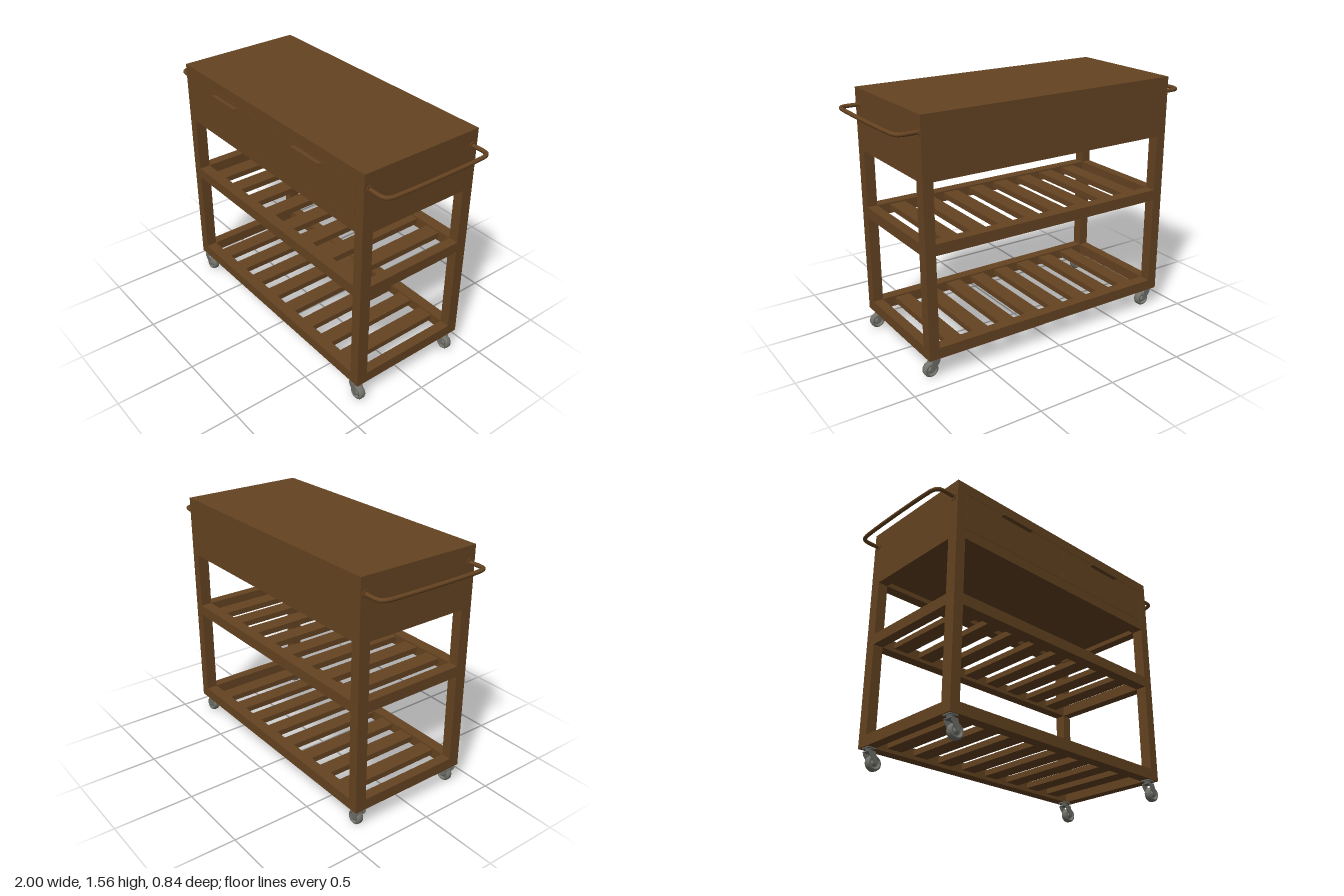
import * as THREE from 'three';

const wood = new THREE.MeshStandardMaterial({ color: 0x654321 });
wood.name = 'brown wood';
const metal = new THREE.MeshStandardMaterial({ color: 0x6c6c68 });
metal.name = 'caster steel';
const rubber = new THREE.MeshStandardMaterial({ color: 0x73736c });
rubber.name = 'wheel grey';

// Overall extents of the wooden body, and post section
const X0 = -0.858, X1 = 0.855, Z0 = -0.418, Z1 = 0.387;
const POST_X = 0.064, POST_Z = 0.071, BASE = 0.13, APRON = 1.189, PANEL = 1.22, TOP = 1.56;
const XI0 = X0 + POST_X, XI1 = X1 - POST_X, ZI0 = Z0 + POST_Z, ZI1 = Z1 - POST_Z;

function add(parent, name, geometry, material = wood) {
  const mesh = new THREE.Mesh(geometry, material);
  mesh.name = name;
  parent.add(mesh);
  return mesh;
}

// Box given by its minimum and maximum corners
function block(parent, name, x0, x1, y0, y1, z0, z1, material = wood) {
  const mesh = add(parent, name, new THREE.BoxGeometry(x1 - x0, y1 - y0, z1 - z0), material);
  mesh.position.set((x0 + x1) / 2, (y0 + y1) / 2, (z0 + z1) / 2);
  return mesh;
}

function rectangle(Type, x0, x1, y0, y1) {
  return new Type([[x0, y0], [x1, y0], [x1, y1], [x0, y1]].map(p => new THREE.Vector2(...p)));
}

// Four rails between the corner posts
function buildRails(parent, y0, y1) {
  block(parent, 'frontRail', XI0, XI1, y0, y1, ZI1, Z1);
  block(parent, 'backRail', XI0, XI1, y0, y1, Z0, ZI0);
  block(parent, 'rightRail', X0, XI0, y0, y1, ZI0, ZI1);
  block(parent, 'leftRail', XI1, X1, y0, y1, ZI0, ZI1);
}

function buildCabinet(root) {
  const cabinet = new THREE.Group();
  cabinet.name = 'cabinet';
  root.add(cabinet);
  const front = Z1 - 0.025;
  block(cabinet, 'cabinetBody', X0, X1, PANEL, TOP, Z0, front);
  buildRails(cabinet, APRON, PANEL);

  // Front frame with one opening holding two flush drawers
  const frame = rectangle(THREE.Shape, X0, X1, PANEL, TOP);
  frame.holes.push(rectangle(THREE.Path, -0.793, 0.79, 1.256, 1.491));
  const frameGeo = new THREE.ExtrudeGeometry(frame, { depth: 0.025, bevelEnabled: false });
  add(cabinet, 'drawerFrame', frameGeo).position.z = front;
  for (const [x0, x1, pull] of [[-0.791, 0.009, -0.4], [0.011, 0.788, 0.398]]) {
    block(cabinet, 'drawerFront', x0, x1, 1.258, 1.489, front, Z1);
    block(cabinet, 'drawerPull', pull - 0.123, pull + 0.123, 1.47, 1.475, Z1 - 0.002, 0.416);
    block(cabinet, 'drawerPullLip', pull - 0.123, pull + 0.123, 1.467, 1.479, 0.411, 0.417);
  }
}

function buildShelf(root, name, y0, y1) {
  const shelf = new THREE.Group();
  shelf.name = name;
  root.add(shelf);
  buildRails(shelf, y0, y1);
  // Evenly spaced slats
  const count = 8, width = 0.102, gap = (XI1 - XI0 - count * width) / (count + 1);
  for (let i = 0; i < count; i++) {
    const x = XI0 + gap + i * (width + gap);
    block(shelf, 'slat', x, x + width, y1 - 0.046, y1 - 0.01, ZI0, ZI1);
  }
}

// Bowed towel-rail handle on one end of the cabinet
function buildHandle(root, name, side) {
  const handle = new THREE.Group();
  handle.name = name;
  const wall = side > 0 ? X1 : X0;
  const half = 0.367;
  const profile = [[0, half], [0.08, half], [0.108, half - 0.01], [0.122, half - 0.04], [0.127, half - 0.1], [0.131, 0]];
  const mirrored = profile.slice(0, -1).reverse().map(([x, z]) => [x, -z]);
  const points = [...profile, ...mirrored].map(([x, z]) => new THREE.Vector3(wall + side * x, 0, z));
  const path = new THREE.CatmullRomCurve3(points, false, 'centripetal');
  add(handle, 'handleBar', new THREE.TubeGeometry(path, 80, 0.0125, 12));
  for (const z of [-half, half]) {
    const flange = add(handle, 'handleFlange', new THREE.CylinderGeometry(0.026, 0.026, 0.004, 20));
    flange.rotation.z = Math.PI / 2;
    flange.position.set(wall + side * 0.002, 0, z);
  }
  handle.position.set(0, 1.462, -0.018);
  root.add(handle);
}

// Swivel caster whose wheel trails toward +x
function buildCaster(root, x, z) {
  const caster = new THREE.Group();
  caster.name = 'caster';
  caster.position.set(x, 0, z);
  root.add(caster);
  block(caster, 'mountPlate', -0.028, 0.028, 0.123, BASE, -0.029, 0.029, metal);
  add(caster, 'swivel', new THREE.CylinderGeometry(0.024, 0.02, 0.014, 20), metal).position.y = 0.116;
  block(caster, 'forkCrown', -0.022, 0.026, 0.103, 0.109, -0.028, 0.028, metal);

  // Slanted fork cheeks
  const cheek = new THREE.Shape([[-0.022, 0.109], [-0.016, 0.087], [0.022, 0.038], [0.042, 0.038], [0.045, 0.056], [0.026, 0.109]]
    .map(p => new THREE.Vector2(...p)));
  const cheekGeo = new THREE.ExtrudeGeometry(cheek, { depth: 0.003, bevelEnabled: false });
  for (const cz of [-0.029, 0.026]) add(caster, 'forkCheek', cheekGeo, metal).position.z = cz;

  // Rounded wheel, recessed between hub and tread
  const side = [[0.008, -0.022], [0.015, -0.022], [0.017, -0.009], [0.029, -0.009], [0.031, -0.022], [0.039, -0.022], [0.045, -0.014]];
  const tread = [...side, [0.046, 0], ...side.slice().reverse().map(([r, y]) => [r, -y])];
  const wheel = add(caster, 'wheel', new THREE.LatheGeometry(tread.map(p => new THREE.Vector2(...p)), 32), rubber);
  const axle = add(caster, 'axle', new THREE.CylinderGeometry(0.008, 0.008, 0.066, 12), metal);
  for (const part of [wheel, axle]) {
    part.rotation.x = Math.PI / 2;
    part.position.set(0.032, 0.046, 0);
  }
}

export function createModel() {
  const cart = new THREE.Group();
  cart.name = 'kitchenCart';
  buildCabinet(cart);

  // Corner posts
  for (const x of [X0, XI1]) {
    for (const z of [Z0, ZI1]) block(cart, 'cornerPost', x, x + POST_X, BASE, PANEL, z, z + POST_Z);
  }
  buildShelf(cart, 'middleShelf', 0.766, 0.834);
  buildShelf(cart, 'bottomShelf', BASE, 0.198);
  buildHandle(cart, 'leftHandle', 1);
  buildHandle(cart, 'rightHandle', -1);
  for (const x of [-0.822, 0.792]) {
    for (const z of [-0.36, 0.351]) buildCaster(cart, x, z);
  }
  return cart;
}
